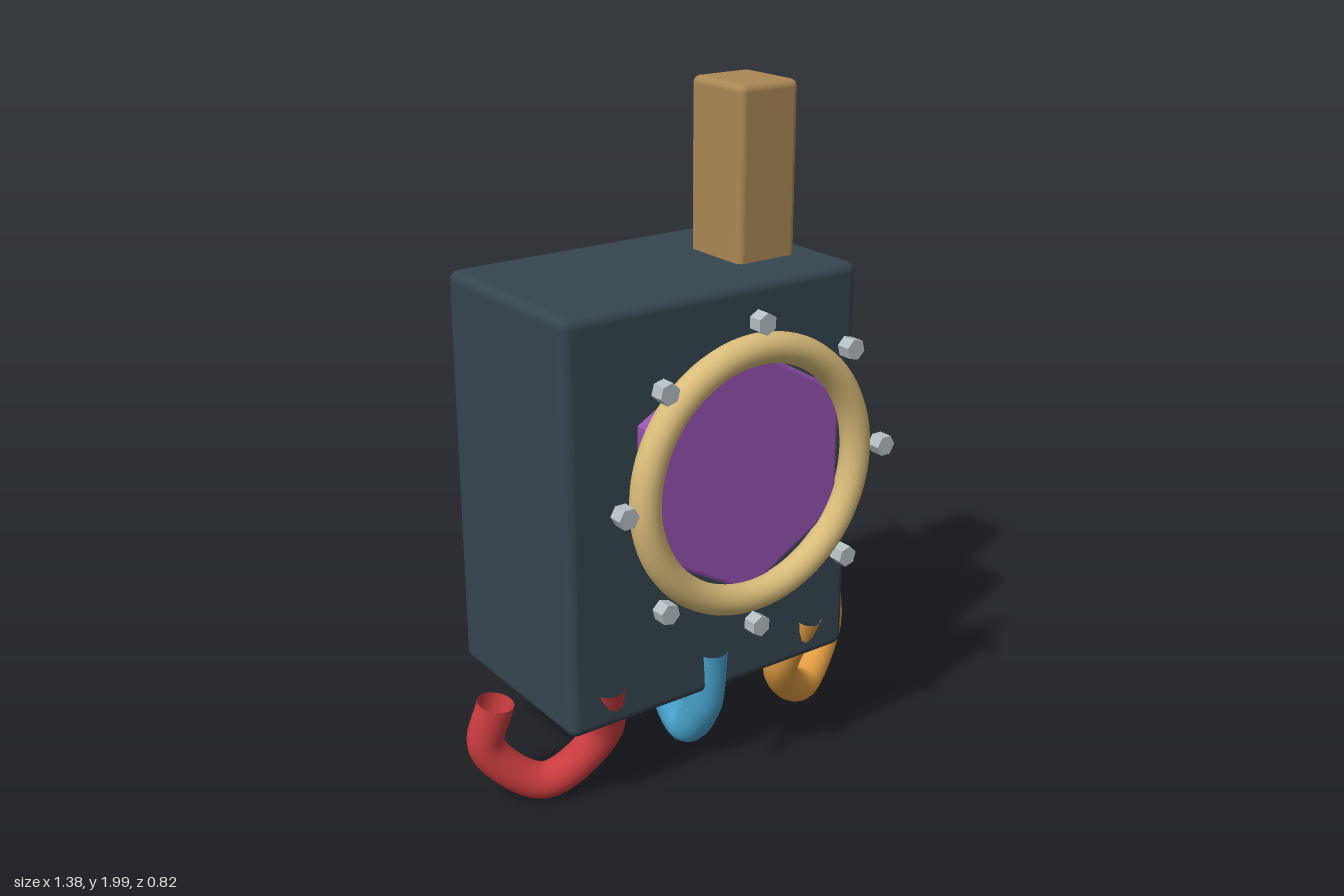
import * as THREE from 'three';
import { RoundedBoxGeometry } from 'three/addons/geometries/RoundedBoxGeometry.js';

const makeMaterial = (name, color, options = {}) => {
  const m = new THREE.MeshStandardMaterial({ color, ...options });
  m.name = name;
  return m;
};

export function createModel() {
  const model = new THREE.Group();
  model.name = 'portholeBox';

  const slate = makeMaterial('slate', 0x36454f);
  const wood = makeMaterial('tan', 0xaa8855);
  const brass = makeMaterial('brass', 0xd9bc7a);
  const purple = makeMaterial('purple', 0x9553b0);
  const steel = makeMaterial('steel', 0xb4bdc2, { flatShading: true });
  const open = { side: THREE.DoubleSide };
  const red = makeMaterial('red', 0xc93c3f, open);
  const blue = makeMaterial('blue', 0x48a2cc, open);
  const orange = makeMaterial('orange', 0xe09c42, open);

  const add = (name, geometry, material, x = 0, y = 0, z = 0, parent = model) => {
    const mesh = new THREE.Mesh(geometry, material);
    mesh.name = name;
    mesh.position.set(x, y, z);
    parent.add(mesh);
    return mesh;
  };

  // Body and chimney
  add('body', new RoundedBoxGeometry(0.99, 1.22, 0.61, 3, 0.03), slate, 0, 0.89, -0.105);
  add('chimney', new RoundedBoxGeometry(0.205, 0.52, 0.235, 3, 0.022), wood, 0.298, 1.74, -0.083);

  // Porthole floating in front: six-sided pane, round rim, ring of bolts
  const porthole = new THREE.Group();
  porthole.name = 'porthole';
  porthole.position.y = 1.018;
  model.add(porthole);

  const bevel = 0.012;
  const hexagon = new THREE.Shape();
  for (let i = 0; i < 6; i++) {
    const a = Math.PI / 2 + (i * Math.PI) / 3;
    const r = 0.355 - bevel;
    hexagon[i ? 'lineTo' : 'moveTo'](r * Math.cos(a), r * Math.sin(a));
  }
  hexagon.closePath();
  const pane = new THREE.ExtrudeGeometry(hexagon, {
    depth: 0.1 - 2 * bevel, bevelEnabled: true,
    bevelSize: bevel, bevelThickness: bevel, bevelSegments: 3,
  });
  add('pane', pane, purple, 0, 0, 0.25 + bevel, porthole);
  add('rim', new THREE.TorusGeometry(0.359, 0.043, 16, 72), brass, 0, 0, 0.365, porthole);

  // Each bolt has a corner pointing outwards
  const bolt = new THREE.CylinderGeometry(0.031, 0.031, 0.042, 6);
  bolt.rotateX(Math.PI / 2);
  bolt.rotateZ(Math.PI / 2);
  for (let i = 0; i < 8; i++) {
    const a = (i * Math.PI) / 4;
    add('bolt', bolt, steel, 0.438 * Math.cos(a), 0.438 * Math.sin(a), 0.388, porthole)
      .rotation.z = a;
  }

  // Curled open tubes hanging below the body
  const hook = (name, material, points) => {
    const path = new THREE.CatmullRomCurve3(points.map((p) => new THREE.Vector3(...p)));
    add(name, new THREE.TubeGeometry(path, 40, 0.054, 16, false), material);
  };
  const sideHook = (s) => [
    [0.36 * s, 0.41, 0.172],
    [0.333 * s, 0.2, 0.095],
    [0.485 * s, 0.062, 0.02],
    [0.632 * s, 0.19, -0.045],
    [0.609 * s, 0.34, -0.025],
  ];
  hook('leftHook', orange, sideHook(1));
  hook('rightHook', red, sideHook(-1));
  hook('middleHook', blue, [
    [0, 0.41, 0.172],
    [0, 0.2, 0.14],
    [0, 0.092, 0.045],
    [0, 0.19, -0.045],
    [0, 0.34, -0.025],
  ]);

  return model;
}
